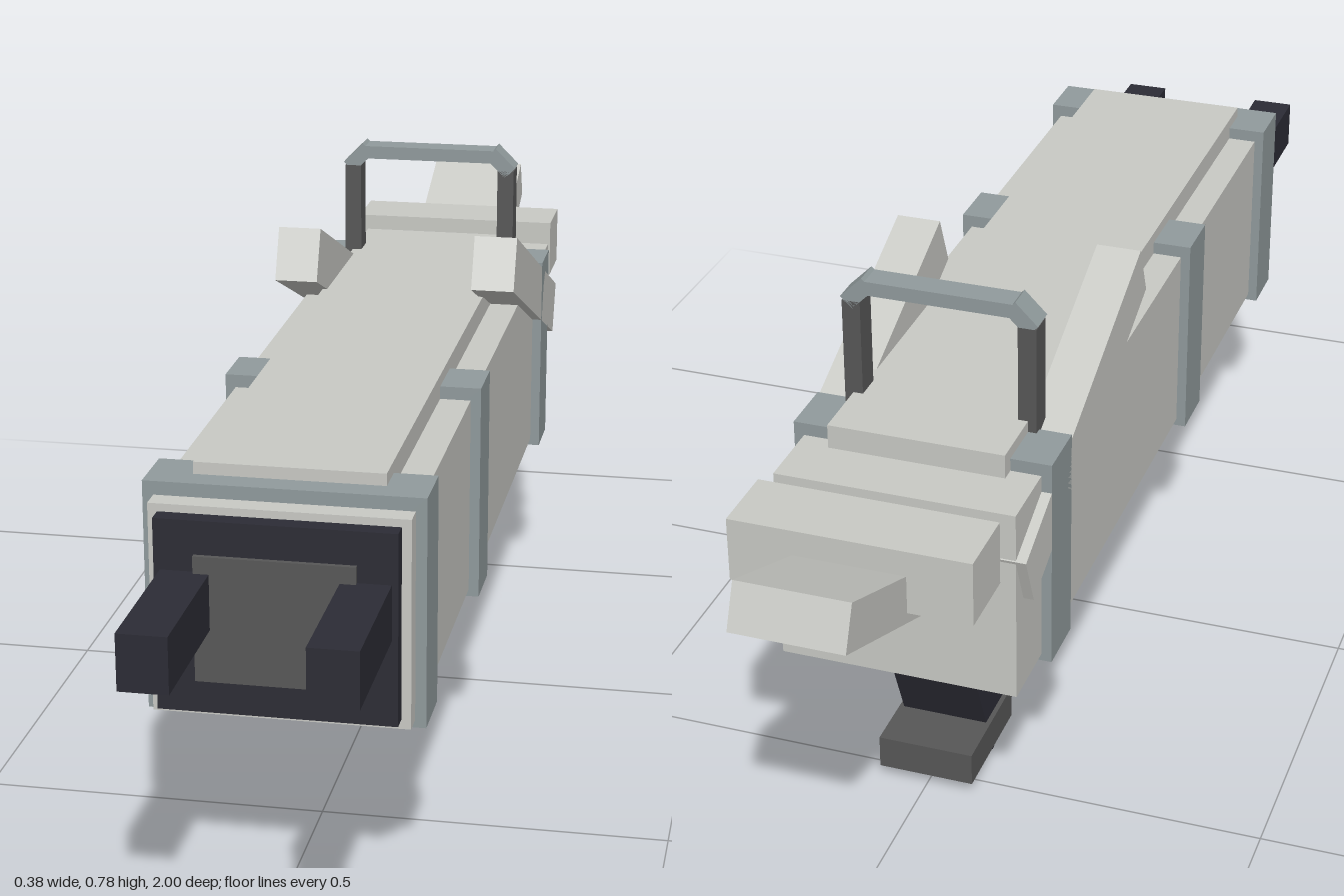
import * as THREE from 'three';

const material = (name, color) => {
  const m = new THREE.MeshStandardMaterial({ color });
  m.name = name;
  return m;
};

export function createModel() {
  const light = material('light grey', 0xc8c9c4);
  const steel = material('blue grey', 0x909a9c);
  const grey = material('dark grey', 0x575757);
  const dark = material('near black', 0x2c2c35);
  const model = new THREE.Group();
  model.name = 'device';

  // Box centred at (x, y, z), tilted about x by rx and about z by rz
  const box = (name, mat, [w, h, d], [x, y, z], rx = 0, rz = 0) => {
    const mesh = new THREE.Mesh(new THREE.BoxGeometry(w, h, d), mat);
    mesh.name = name;
    mesh.position.set(x, y, z);
    mesh.rotation.set(rx, 0, rz);
    model.add(mesh);
  };
  const tilt = 0.395;

  // Long housing, raised spine on top and bottom, and three bands
  box('housing', light, [0.35, 0.295, 1.39], [0, 0.4135, 0.065]);
  box('spine', light, [0.26, 0.356, 1.235], [0, 0.419, 0.075]);
  for (const z of [0.685, 0.22, -0.477])
    box('band', steel, [0.38, 0.325, 0.088], [0, 0.4175, z]);

  // Front plate, inset panel and prongs
  box('frontPlate', dark, [0.324, 0.27, 0.03], [0, 0.415, 0.77]);
  box('frontPanel', grey, [0.216, 0.176, 0.03], [0, 0.415, 0.777]);

  for (const s of [-1, 1]) {
    box('prong', dark, [0.067, 0.078, 0.23], [s * 0.12, 0.44, 0.885]);
    // Tilted side slabs
    box('sideSlab', light, [0.067, 0.085, 0.57], [s * 0.1565, 0.56, -0.3525], -tilt);
    // Carrying handle posts and corner pieces
    box('handlePost', grey, [0.027, 0.182, 0.04], [s * 0.129, 0.651, -0.425]);
    box('handleCorner', steel, [0.046, 0.024, 0.04], [s * 0.12, 0.755, -0.425], 0, -s * Math.PI / 4);
  }
  box('handleBar', steel, [0.226, 0.021, 0.04], [0, 0.765, -0.425]);

  // Tail slab and cross bar
  box('tail', light, [0.16, 0.067, 0.42], [0, 0.51, -0.79], tilt);
  box('crossBar', light, [0.344, 0.095, 0.105], [0, 0.537, -0.738]);

  // Grip, foot, mount and trigger
  box('grip', dark, [0.13, 0.3, 0.177], [0, 0.173, -0.398], -tilt);
  box('gripFoot', grey, [0.144, 0.051, 0.18], [0, 0.045, -0.445]);
  box('gripMount', steel, [0.16, 0.05, 0.27], [0, 0.236, -0.225]);
  box('trigger', grey, [0.045, 0.033, 0.19], [0, 0.189, -0.228]);

  return model;
}
